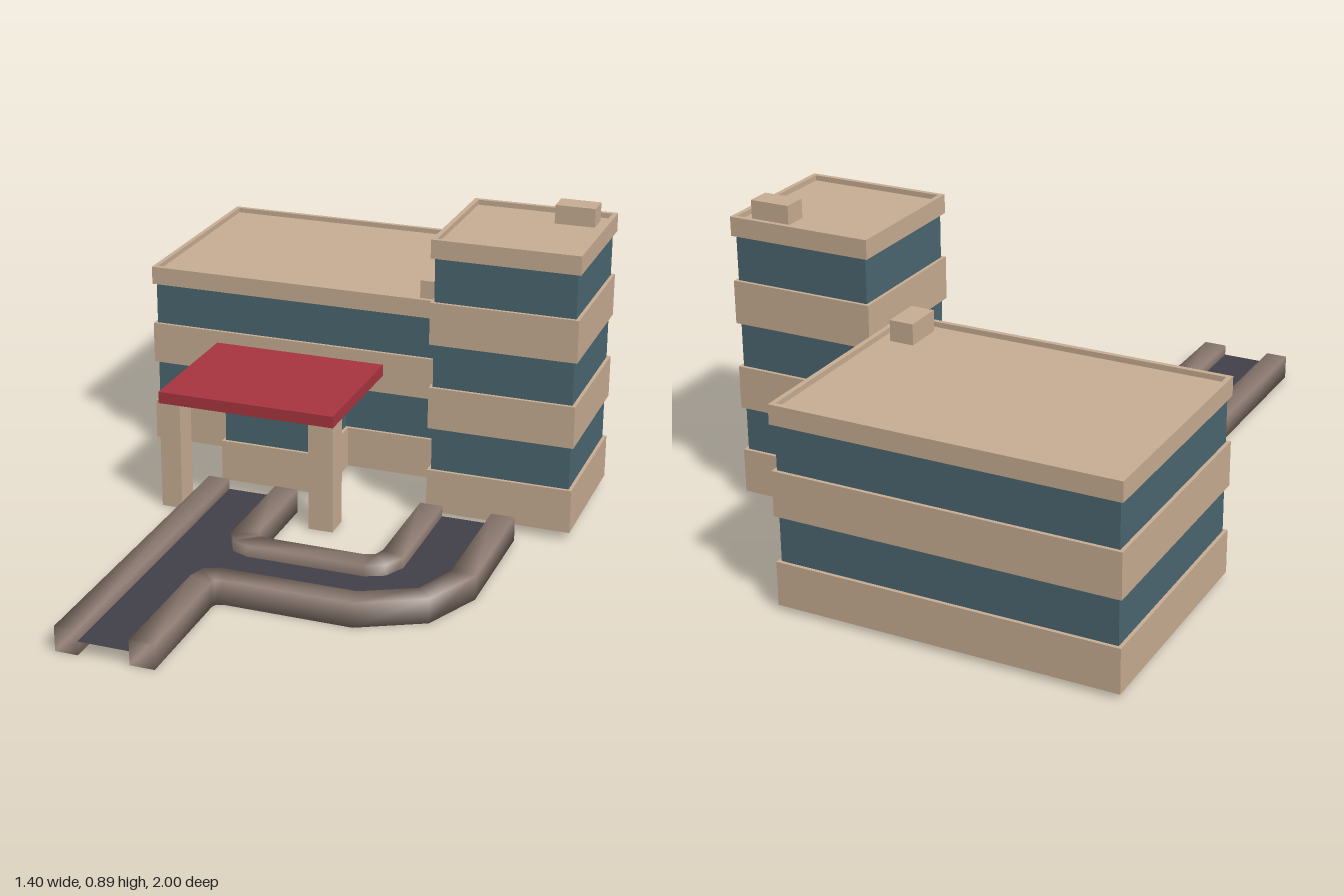
import * as THREE from 'three';

const mat = (color) => new THREE.MeshStandardMaterial({ color, side: THREE.DoubleSide });

export function createModel() {
  const model = new THREE.Group();
  const concrete = mat(0xc9ae94), glass = mat(0x4c6872), red = mat(0xaa3540);
  const asphalt = mat(0x42404a), curbMat = mat(0x8f7d73);

  const add = (parent, name, geometry, material) => {
    const mesh = new THREE.Mesh(geometry, material);
    mesh.name = name;
    parent.add(mesh);
    return mesh;
  };

  // Box given by its lower and upper limits
  const box = (parent, name, material, [x0, x1], [y0, y1], [z0, z1]) => {
    const g = new THREE.BoxGeometry(x1 - x0, y1 - y0, z1 - z0);
    g.translate((x0 + x1) / 2, (y0 + y1) / 2, (z0 + z1) / 2);
    return add(parent, name, g, material);
  };

  // Floor plan inset by d, optionally with a porch standing out of the front
  const plan = ({ x, z, porch }, d, withPorch) => {
    const f = z[1] - d;
    const pts = [[x[0] + d, z[0] + d], [x[1] - d, z[0] + d], [x[1] - d, f]];
    if (withPorch) {
      const a = porch.x[0] + d, b = porch.x[1] - d, p = porch.z - d;
      pts.push([b, f], [b, p], [a, p], [a, f]);
    }
    pts.push([x[0] + d, f]);
    return pts.map(([u, v]) => new THREE.Vector2(u, v));
  };

  // Hollow wall band following the floor plan
  const band = (parent, b, y0, y1, isGlass, withPorch) => {
    const outer = isGlass ? 0.01 : 0;
    const shape = new THREE.Shape(plan(b, outer, withPorch));
    shape.holes.push(new THREE.Path(plan(b, 0.014, withPorch)));
    const g = new THREE.ExtrudeGeometry(shape, { depth: y1 - y0, bevelEnabled: false });
    g.rotateX(Math.PI / 2).translate(0, y1, 0);
    add(parent, isGlass ? 'windowBand' : 'wallBand', g, isGlass ? glass : concrete);
  };

  // Building: alternating wall and window bands, sunken roof, rooftop unit
  const building = (name, b) => {
    const group = new THREE.Group();
    group.name = name;
    model.add(group);
    b.levels.slice(1).forEach((y1, i) => {
      const y0 = b.levels[i], isGlass = i % 2 === 1;
      const split = b.porch ? b.porch.top : 0;
      if (y0 < split && y1 > split) {
        band(group, b, y0, split, isGlass, true);
        band(group, b, split, y1, isGlass, false);
      } else band(group, b, y0, y1, isGlass, y1 <= split);
    });
    const top = b.levels[b.levels.length - 1];
    const rx = [b.x[0] + 0.013, b.x[1] - 0.013], rz = [b.z[0] + 0.013, b.z[1] - 0.013];
    box(group, 'roof', concrete, rx, [top - 0.035, top - 0.015], rz);
    box(group, 'rooftopUnit', concrete, b.unit.x, [top - 0.016, b.unit.top], b.unit.z);
    if (b.floor) box(group, 'floor', concrete, rx, [b.levels[0], b.levels[0] + 0.01], rz);
    return group;
  };

  const hall = building('mainBuilding', {
    x: [-0.7, 0.265], z: [-1, -0.325],
    levels: [0.015, 0.14, 0.27, 0.397, 0.525, 0.58],
    porch: { x: [-0.38, -0.06], z: -0.1, top: 0.325 },
    unit: { x: [0.15, 0.22], z: [-0.48, -0.365], top: 0.625 },
  });
  box(hall, 'porchFloor', concrete, [-0.37, -0.07], [0.015, 0.025], [-0.325, -0.11]);

  building('tower', {
    x: [0.27, 0.697], z: [-0.505, -0.08],
    levels: [0.025, 0.155, 0.285, 0.41, 0.54, 0.665, 0.795, 0.85],
    unit: { x: [0.54, 0.657], z: [-0.46, -0.39], top: 0.89 },
    floor: true,
  });

  // Entrance canopy on two columns
  box(model, 'canopy', red, [-0.487, 0.05], [0.325, 0.36], [-0.325, 0.105]);
  for (const x of [[-0.485, -0.422], [-0.025, 0.048]])
    box(model, 'canopyColumn', concrete, x, [0, 0.325], [0.025, 0.103]);

  // Curb: hollow square section between its road edge and its outer edge
  const curb = (name, inner, outer) => {
    const pos = [], index = [], n = inner.length, h = 0.072;
    inner.forEach(([x, z], i) => {
      const [u, v] = outer[i];
      pos.push(x, 0, z, x, h, z, u, h, v, u, 0, v);
    });
    for (let i = 0; i < n - 1; i++)
      for (let k = 0; k < 4; k++) {
        const a = i * 4 + k, b = i * 4 + (k + 1) % 4;
        index.push(a, b, a + 4, b, b + 4, a + 4);
      }
    const g = new THREE.BufferGeometry();
    g.setAttribute('position', new THREE.Float32BufferAttribute(pos, 3));
    g.setIndex(index);
    g.computeVertexNormals();
    add(model, name, g, curbMat);
  };

  const start = 0.01, end = -0.03;
  const west = [[-0.31, 1], [-0.31, start]];
  const north = [[-0.165, start], [-0.165, 0.34], [-0.14, 0.385], [-0.09, 0.405],
    [0.25, 0.405], [0.305, 0.38], [0.335, 0.32], [0.335, end]];
  const south = [[0.48, end], [0.48, 0.35], [0.43, 0.475], [0.285, 0.55],
    [-0.11, 0.55], [-0.15, 0.57], [-0.165, 0.62], [-0.165, 1]];

  curb('westCurb', [...west].reverse(), [[-0.375, start], [-0.375, 1]]);
  curb('innerCurb', [...north].reverse(), [[0.268, end], [0.268, 0.295], [0.258, 0.325],
    [0.23, 0.338], [-0.065, 0.338], [-0.085, 0.328], [-0.095, 0.305], [-0.095, start]]);
  curb('outerCurb', [...south].reverse(), [[-0.095, 1], [-0.095, 0.64], [-0.09, 0.625],
    [-0.07, 0.618], [0.295, 0.618], [0.475, 0.525], [0.55, 0.355], [0.55, end]]);

  // Road surface with its branch, lying between the curbs
  const road = new THREE.Shape([...west, ...north, ...south].map(([x, z]) => new THREE.Vector2(x, -z)));
  const surface = new THREE.ShapeGeometry(road);
  surface.rotateX(-Math.PI / 2).translate(0, 0.04, 0);
  add(model, 'road', surface, asphalt);

  return model;
}
